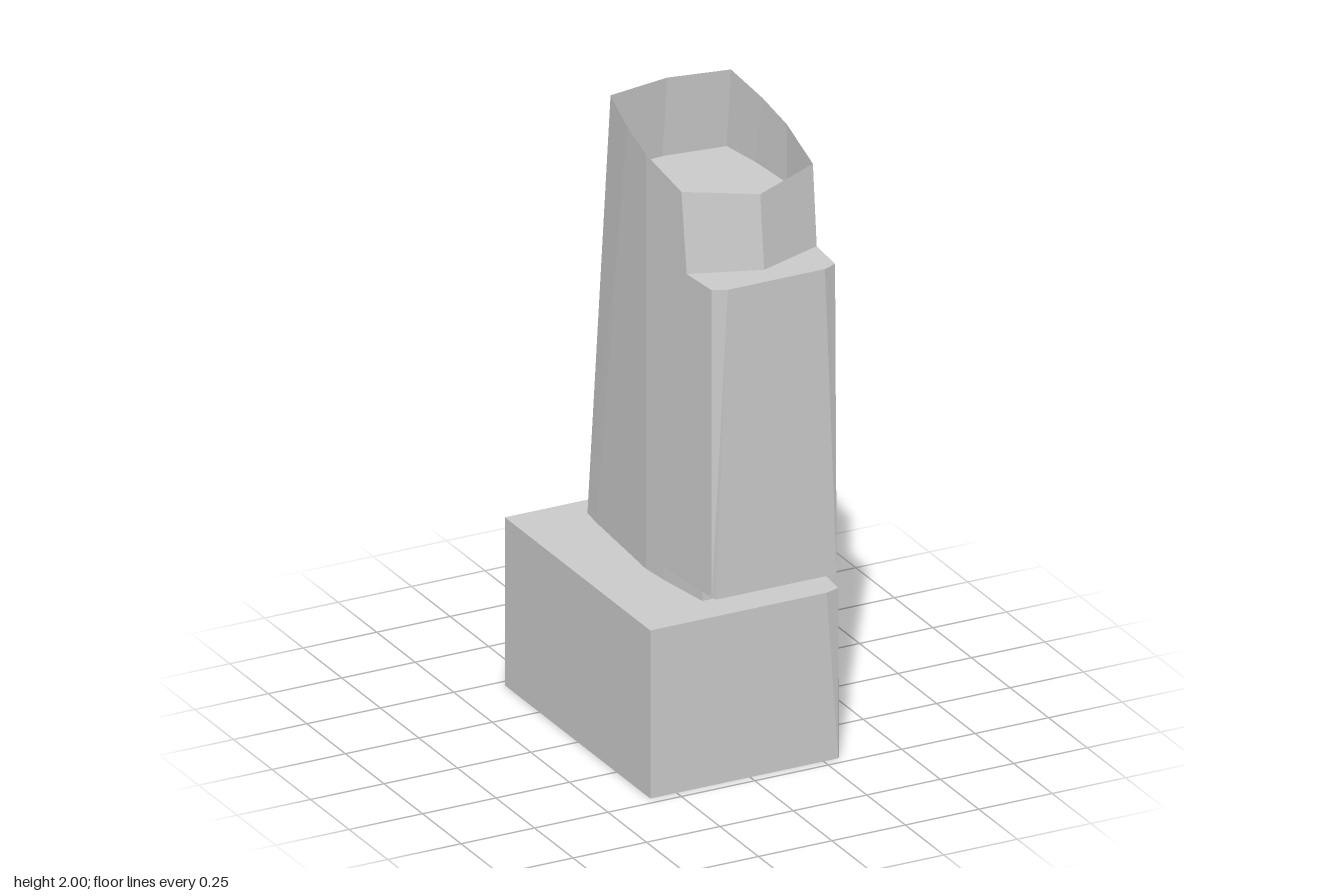
import * as THREE from 'three';

const CX = 0.1; // tower axis
const FLOOR_Y = 1.73, PODIUM_Y = 0.555, NOTCH_Y = 0.6, BAY_Y = 1.615;

// Skin a stack of rings (points run back, right, front, left), with optional caps
function loft(name, rings, { bottom = true, top = true, open = false } = {}) {
  const pos = [];
  const tri = (...pts) => pts.forEach((p) => pos.push(...p));
  const n = rings[0].length;
  for (let k = 0; k + 1 < rings.length; k++) {
    const lo = rings[k], hi = rings[k + 1];
    for (let i = 0; i < n; i++) {
      const j = (i + 1) % n;
      tri(lo[i], hi[i], lo[j]);
      tri(lo[j], hi[i], hi[j]);
    }
  }
  const last = rings[rings.length - 1];
  for (let i = 1; i + 1 < n; i++) {
    if (bottom) tri(rings[0][0], rings[0][i], rings[0][i + 1]);
    if (top) tri(last[0], last[i + 1], last[i]);
  }
  const geo = new THREE.BufferGeometry();
  geo.setAttribute('position', new THREE.Float32BufferAttribute(pos, 3));
  geo.computeVertexNormals();
  const mesh = new THREE.Mesh(geo, new THREE.MeshStandardMaterial({
    color: 0xcccccc, flatShading: true,
    side: open ? THREE.DoubleSide : THREE.FrontSide,
  }));
  mesh.name = name;
  return mesh;
}

const flat = (pts, y) => pts.map(([x, z]) => [x, y, z]);

// Half width of the gently bowed side walls at depth z
const halfWidth = (z) => (z < 0.06 ? 0.24 - (0.06 - z) * 0.07 : 0.24 - (z - 0.06) * 0.081);

// Leaning edges of the tower: [half width, z] at height y
const backRidge = (y) => [0, -0.468 + 0.104 * y];
const backCorner = (y) => [0.205, -0.443 + 0.104 * y];
const sideCrease = (y) => { const z = -0.4 + 0.163 * y; return [halfWidth(z), z]; };
const widest = () => [0.24, 0.06];
const frontCorner = (y) => { const z = 0.26 + 0.1125 * (1.875 - y); return [halfWidth(z), z]; };
const frontRidge = (y) => [0, y < BAY_Y ? 0.37 + 0.069 * (BAY_Y - y) : 0.345 + 0.104 * (1.855 - y)];

// Full symmetric ring; heights holds one y per edge
function towerRing(heights) {
  const edges = [backRidge, backCorner, sideCrease, widest, frontCorner, frontRidge];
  const half = edges.map((edge, i) => { const [w, z] = edge(heights[i]); return [w, heights[i], z]; });
  const right = half.map(([w, y, z]) => [CX + w, y, z]);
  const left = half.slice(1, -1).reverse().map(([w, y, z]) => [CX - w, y, z]);
  return [...right, ...left];
}
const level = (y) => towerRing(Array(6).fill(y));

export function createModel() {
  const model = new THREE.Group();

  // Tower shaft with an open, sloping rim
  const rim = towerRing([2, 1.994, 1.957, 1.923, 1.875, 1.855]);
  model.add(loft('towerShaft', [level(NOTCH_Y), level(BAY_Y), level(FLOOR_Y), rim],
    { top: false, open: true }));

  // Sunken roof inside the rim
  model.add(loft('roofFloor', [level(FLOOR_Y - 0.02), level(FLOOR_Y)]));

  // Shaft foot, cut back at the front to leave the shadow gap
  const foot = (y) => {
    const back = [backCorner(y), sideCrease(y), widest()];
    return flat([
      [CX, backRidge(y)[1]],
      ...back.map(([w, z]) => [CX + w, z]),
      [0.33, 0.16], [0.24, 0.35], [-0.1, 0.35], [-0.13, 0.16],
      ...back.reverse().map(([w, z]) => [CX - w, z]),
    ], y);
  };
  model.add(loft('towerFoot', [foot(0), foot(NOTCH_Y)]));

  // Flat front bay whose corner chamfers widen upward
  const bay = (y, faceHalf) => {
    const half = [[halfWidth(0.26), 0.26], [0.21, 0.43], [faceHalf, 0.45]];
    return flat([
      ...half.map(([w, z]) => [CX + w, z]),
      ...half.reverse().map(([w, z]) => [CX - w, z]),
    ], y);
  };
  model.add(loft('frontBay', [bay(NOTCH_Y, 0.205), bay(BAY_Y, 0.165)]));

  // Podium; its right side follows the bowed tower wall
  const podium = (y, chamferX, chamferZ) => flat([
    [-0.34, -0.473], [0.26, -0.473], [0.26, -0.2], [0.34, 0.06],
    [0.308, chamferZ], [chamferX, 0.47], [-0.34, 0.47],
  ], y);
  model.add(loft('podium', [podium(0, 0.3, 0.46), podium(PODIUM_Y, 0.26, 0.455)]));

  return model;
}
